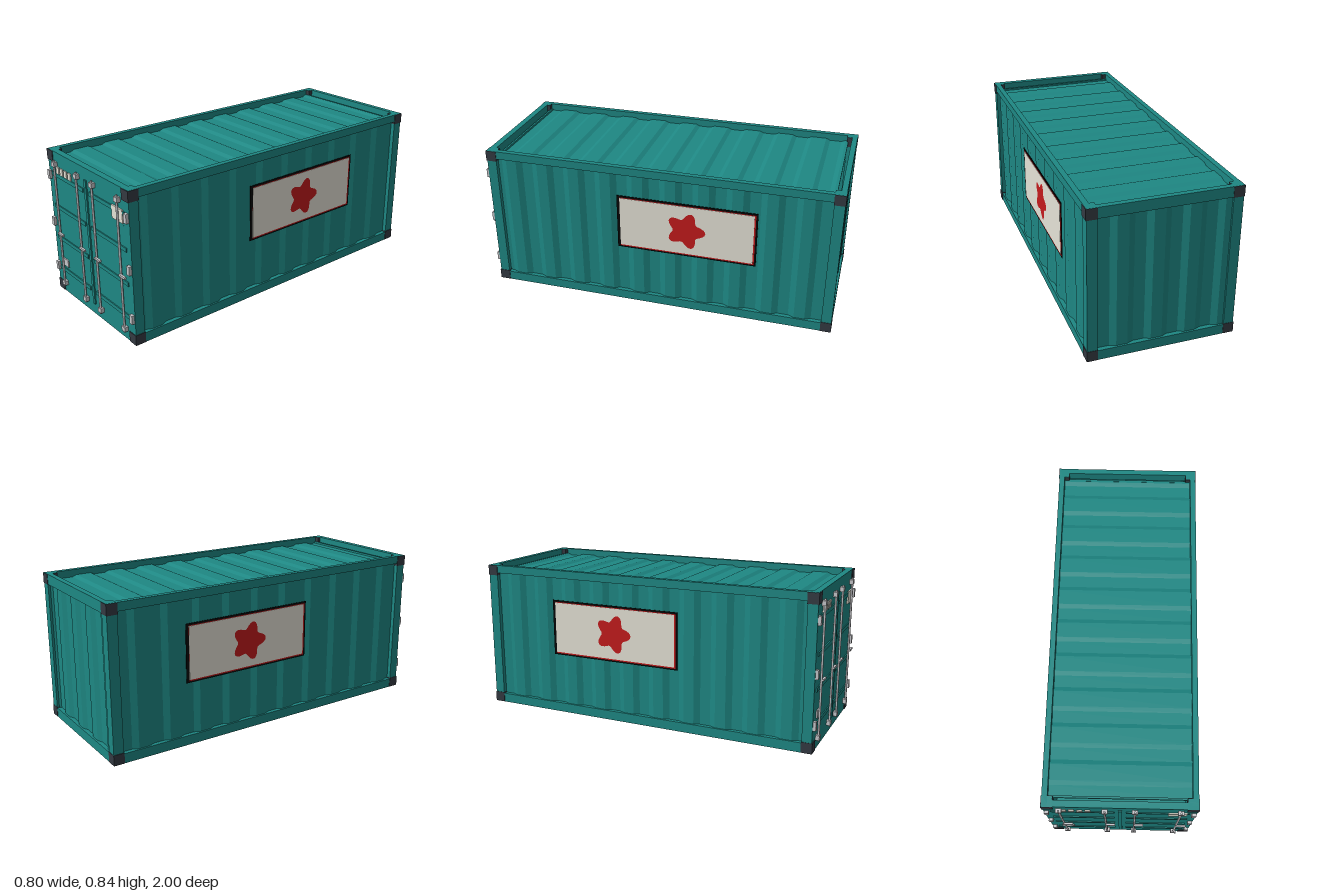
import * as THREE from 'three';

export function createModel() {
  const root = new THREE.Group();
  root.name = 'shippingContainer';
  const mat = (name, color, side = THREE.FrontSide) => {
    const m = new THREE.MeshStandardMaterial({ color, side });
    m.name = name;
    return m;
  };
  const teal = mat('tealPaint', 0x1e8884, THREE.DoubleSide);
  const dark = mat('darkSteel', 0x343a42);
  const grey = mat('galvanisedSteel', 0xc7c7cb);
  const cream = mat('cream', 0xe6e3d7);
  const red = mat('red', 0xc41a1c);
  const black = mat('black', 0x040404);

  const add = (name, geo, material, parent = root) => {
    const mesh = new THREE.Mesh(geo, material);
    mesh.name = name;
    parent.add(mesh);
    return mesh;
  };
  // box given by its minimum and maximum corners
  const box = (name, material, x0, x1, y0, y1, z0, z1, parent = root) => {
    const m = add(name, new THREE.BoxGeometry(x1 - x0, y1 - y0, z1 - z0), material, parent);
    m.position.set((x0 + x1) / 2, (y0 + y1) / 2, (z0 + z1) / 2);
    return m;
  };
  // corrugated sheet running along u from lo to hi; place(u, v, depth) gives each point
  const corrugated = (name, lo, hi, start, pitch, stops, depth, v0, v1, place) => {
    const n = Math.ceil((hi - start) / pitch);
    const levels = [0, 0, depth, depth];
    const geo = new THREE.PlaneGeometry(1, 1, 4 * n, 1);
    const p = geo.attributes.position;
    for (let i = 0; i < p.count; i++) {
      const col = i % (4 * n + 1);
      const u = start + pitch * (Math.floor(col / 4) + stops[col % 4]);
      const v = p.getY(i) > 0 ? v1 : v0;
      p.setXYZ(i, ...place(Math.min(hi, Math.max(lo, u)), v, levels[col % 4]));
    }
    const flat = geo.toNonIndexed();
    flat.computeVertexNormals();
    return add(name, flat, teal);
  };

  const W = 0.397, H = 0.842, BACK = -0.998, FRONT = 0.974;
  const wave = [0, 0.32, 0.5, 0.82];

  for (const sx of [-1, 1]) {
    // corner posts and castings
    for (const [z0, z1] of [[-0.998, -0.942], [0.92, 0.974]]) {
      const a = sx * W, b = sx * 0.343;
      box('cornerPost', teal, Math.min(a, b), Math.max(a, b), 0, H, z0, z1);
      const ca = sx * 0.4, cb = sx * 0.341;
      const zc = z0 < 0 ? [-1, -0.94] : [0.918, 0.978];
      for (const y of [0.001, 0.783])
        box('cornerCasting', dark, Math.min(ca, cb), Math.max(ca, cb), y, y + 0.058, ...zc);
    }
    // side rails
    const r0 = Math.min(sx * 0.367, sx * W), r1 = Math.max(sx * 0.367, sx * W);
    box('topSideRail', teal, r0, r1, 0.797, H, BACK, FRONT);
    box('bottomSideRail', teal, r0, r1, 0, 0.053, BACK, FRONT);
    // corrugated side wall
    corrugated('sideWall', -0.945, 0.925, -1.034, 0.184, wave, 0.015,
      0.045, 0.805, (u, v, d) => [sx * (0.388 - d), v, u]);
  }

  // end rails and corrugated back wall
  box('backTopRail', teal, -W, W, 0.785, H, BACK, -0.968);
  box('backBottomRail', teal, -W, W, 0, 0.055, BACK, -0.968);
  corrugated('backWall', -0.345, 0.345, -0.368, 0.184, wave, 0.014,
    0.05, 0.79, (u, v, d) => [u, v, -0.988 + d]);

  // roof with end bars, and floor, leaving a slot at each end
  corrugated('roof', -0.94, 0.915, -1.016, 0.196, [0, 0.43, 0.55, 0.88], 0.01,
    -0.368, 0.368, (u, v, d) => [v, 0.811 - d, u]);
  for (const z of [-0.948, 0.911])
    box('roofEndBar', teal, -0.368, 0.368, 0.797, 0.812, z, z + 0.011);
  box('floor', teal, -0.37, 0.37, 0.045, 0.06, -0.948, 0.922);

  // doors with raised ribs and a centre seal
  box('doors', teal, -W, W, 0, H, 0.938, FRONT);
  for (const y of [0.134, 0.324, 0.512, 0.702])
    for (const x of [-0.36, 0.03])
      box('doorRib', teal, x, x + 0.33, y, y + 0.022, 0.97, 0.98);
  box('centreSeal', teal, -0.01, 0.01, 0.066, 0.778, 0.97, 0.982);

  // locking rods with brackets and handles
  for (const x of [-0.313, -0.079, 0.077, 0.311]) {
    const rod = new THREE.Group();
    rod.name = 'lockingRod';
    rod.position.x = x;
    root.add(rod);
    add('rodBar', new THREE.CylinderGeometry(0.006, 0.006, 0.755, 10), grey, rod)
      .position.set(0, 0.4215, 0.987);
    for (const y of [0.052, 0.764])
      box('rodBracket', grey, -0.015, 0.015, y, y + 0.026, 0.972, 0.995, rod);
    box('rodHandle', grey, -0.004, 0.05, 0.37, 0.381, 0.988, 1, rod);
  }

  // hinges
  for (const x of [-0.392, 0.369])
    for (const y of [0.125, 0.399, 0.676])
      box('hinge', grey, x, x + 0.023, y, y + 0.049, 0.97, 0.99);

  // plates on the doors
  for (const x of [-0.307, -0.265, -0.223, -0.181])
    box('smallPlate', cream, x, x + 0.029, 0.726, 0.764, 0.974, 0.981);
  box('largePlate', cream, 0.25, 0.346, 0.66, 0.73, 0.974, 0.982);
  box('greyPlate', grey, -0.335, -0.266, 0.174, 0.217, 0.974, 0.981);

  // framed side panels with a rounded five-lobed star, turned half round for the other side
  const pts = [];
  for (let i = 0; i < 60; i++) {
    const a = (i / 60) * Math.PI * 2, r = 0.091 + 0.02 * Math.cos(5 * a);
    pts.push(new THREE.Vector2(r * Math.cos(a), r * Math.sin(a)));
  }
  const star = new THREE.ShapeGeometry(new THREE.Shape(pts));
  for (const sx of [-1, 1]) {
    const panel = new THREE.Group();
    panel.name = 'sidePanel';
    panel.position.set(sx * 0.3885, 0.507, -0.174);
    panel.rotation.y = sx * Math.PI / 2;
    root.add(panel);
    box('panelBorder', black, -0.391, 0.391, -0.16, 0.162, 0, 0.003, panel);
    box('panelInnerLine', red, -0.374, 0.381, -0.151, 0.152, 0.001, 0.0045, panel);
    box('panelField', cream, -0.374, 0.373, -0.144, 0.148, 0.002, 0.006, panel);
    add('panelStar', star, red, panel).position.z = 0.0075;
  }

  return root;
}
